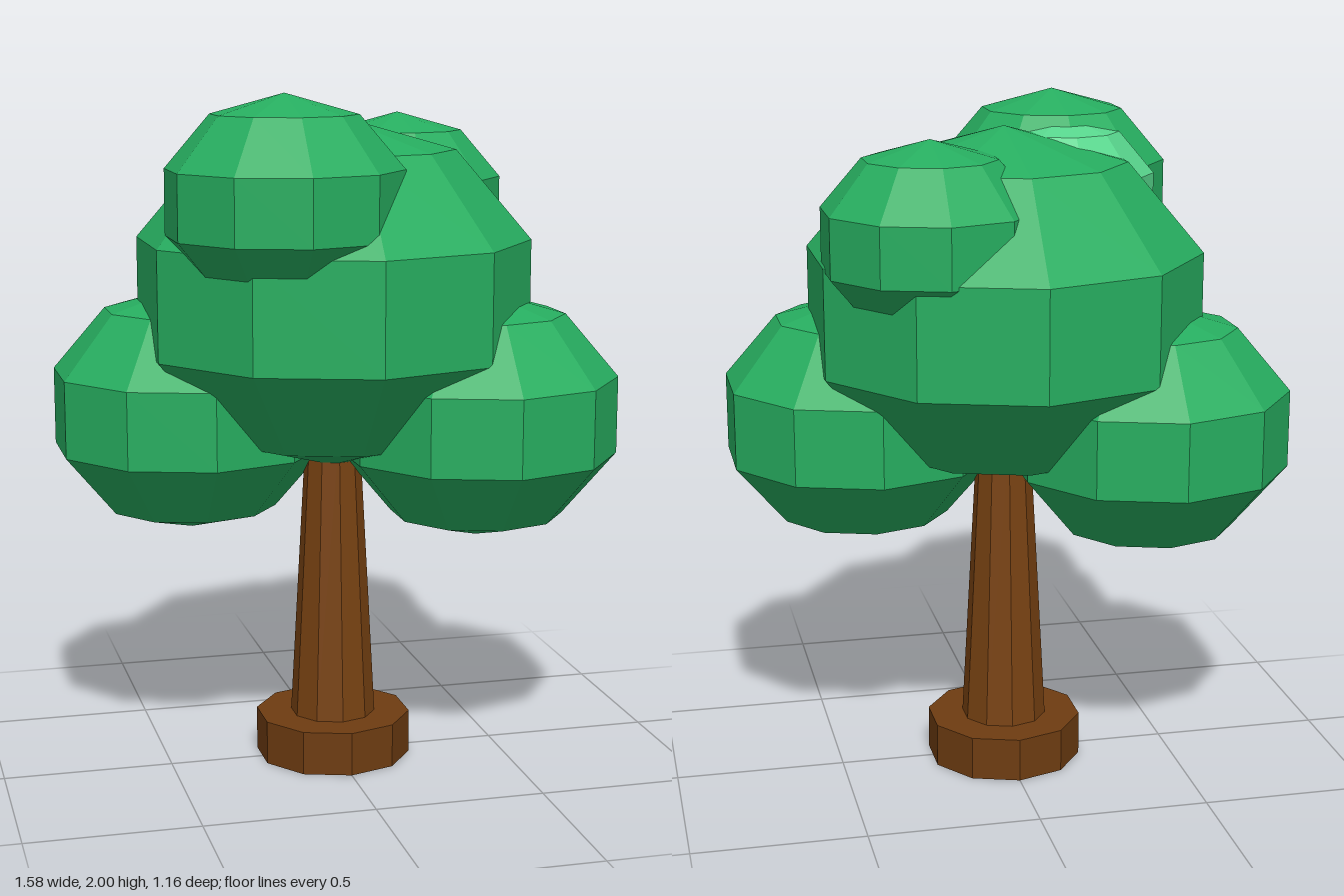
import * as THREE from 'three';

const flat = (name, color) => new THREE.MeshStandardMaterial({ name, color, flatShading: true });

export function createModel() {
  const tree = new THREE.Group();
  tree.name = 'tree';
  const leaf = flat('leaf green', 0x27ae60);
  const lightLeaf = flat('light leaf green', 0x58d68d);
  const bark = flat('bark brown', 0x784212);
  const root = flat('root brown', 0x6e3c11);
  const SIDES = 10, Z = -0.005;

  const add = (name, geometry, material, x, y, z) => {
    const mesh = new THREE.Mesh(geometry, material);
    mesh.name = name;
    mesh.position.set(x, y, z);
    tree.add(mesh);
    return mesh;
  };

  // Root collar and tapered trunk
  add('rootCollar', new THREE.CylinderGeometry(0.232, 0.232, 0.13, SIDES), root, 0, 0.065, Z);
  add('trunk', new THREE.CylinderGeometry(0.08, 0.127, 0.87, SIDES), bark, 0, 0.565, Z);

  // Foliage: squashed ten-sided balls with a corner facing front
  const ball = new THREE.SphereGeometry(1, SIDES, 5).rotateY(Math.PI / 2);
  const foliage = [
    ['crown', leaf, 0.607, 0, 1.41, Z],
    ['leftLowerFoliage', leaf, 0.431, 0.4, 1.06, 0.145],
    ['rightLowerFoliage', leaf, 0.431, -0.4, 1.06, -0.155],
    ['frontTopFoliage', leaf, 0.353, -0.2, 1.7, 0.245],
    ['backTopFoliage', leaf, 0.325, 0.25, 1.645, -0.205],
    ['sunlitFoliage', lightLeaf, 0.28, -0.2, 1.7, 0.1],
  ];
  for (const [name, material, r, x, y, z] of foliage) {
    add(name, ball, material, x, y, z).scale.set(r, r * 0.852, r);
  }
  return tree;
}
